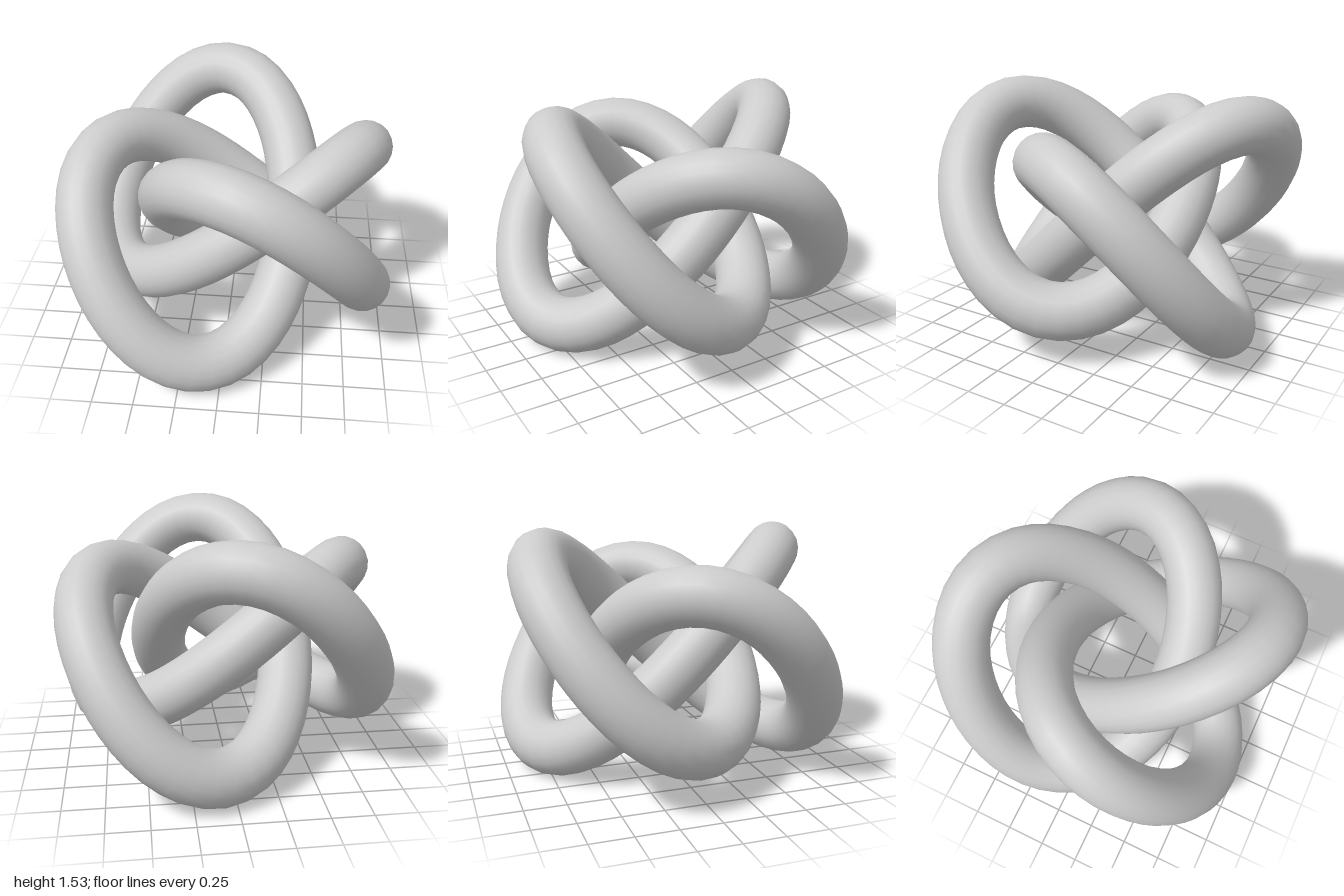
import * as THREE from 'three';

// Closed centre line: three turns round the vertical axis, four outer lobes
class KnotCurve extends THREE.Curve {
  getPoint(u, target = new THREE.Vector3()) {
    const t = u * Math.PI * 2;
    const a = 0.685, c = 0.285;
    return target.set(
      c * Math.cos(t) - a * Math.cos(3 * t),
      0.765 + 0.512 * Math.sin(4 * t) + 0.117 * Math.sin(2 * t),
      c * Math.sin(t) + a * Math.sin(3 * t)
    );
  }
}

export function createModel() {
  const group = new THREE.Group();
  group.name = 'knot';

  // Round tube swept along the knot
  const curve = new KnotCurve();
  curve.arcLengthDivisions = 1000;
  const tube = new THREE.Mesh(
    new THREE.TubeGeometry(curve, 160, 0.169, 20, true),
    new THREE.MeshStandardMaterial({ color: 0xcccccc })
  );
  tube.name = 'knotTube';
  group.add(tube);
  return group;
}
